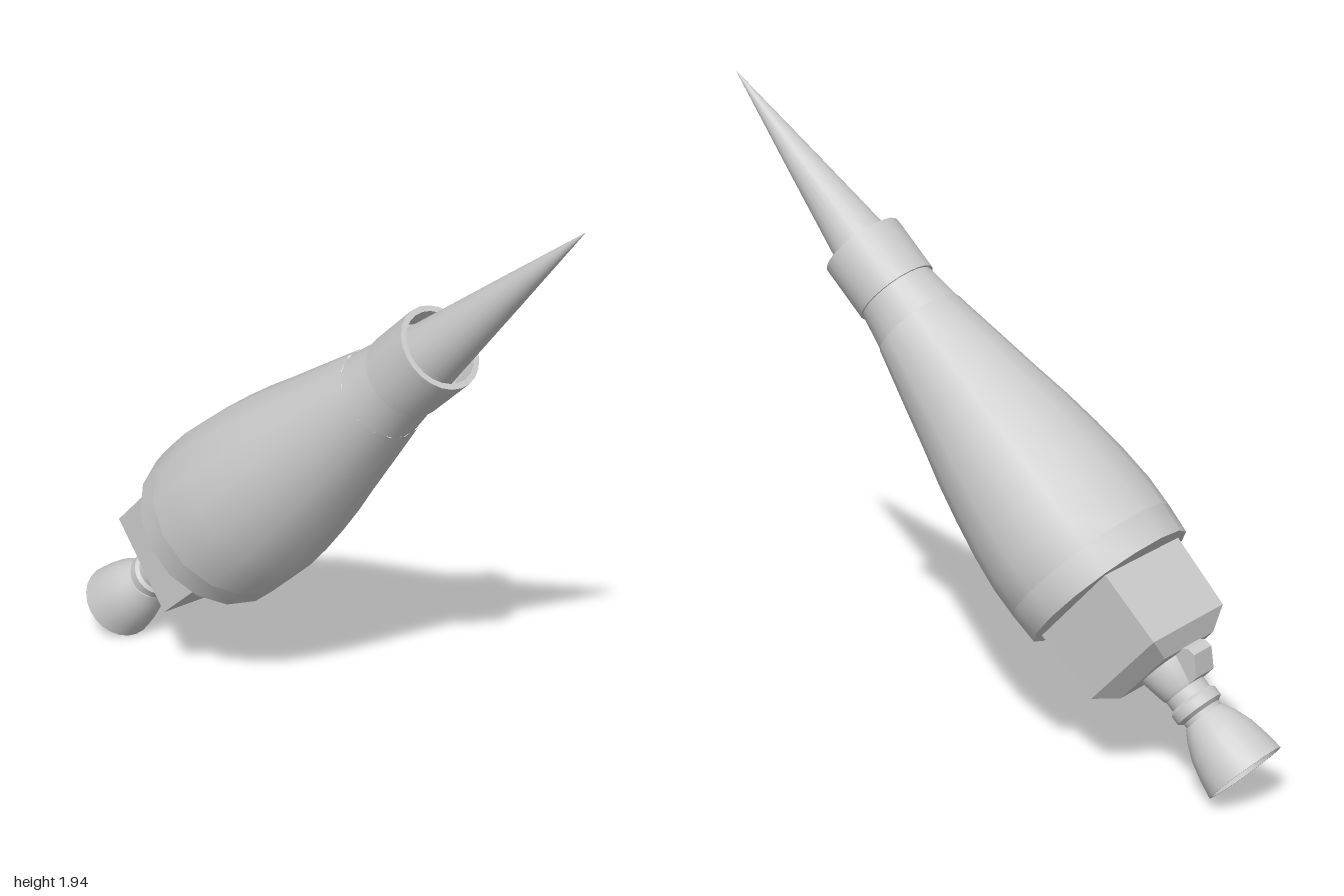
import * as THREE from 'three';
import { toCreasedNormals } from 'three/addons/utils/BufferGeometryUtils.js';

const grey = new THREE.MeshStandardMaterial({ color: 0xcccccc });
grey.name = 'light grey';

export function createModel() {
  const model = new THREE.Group();
  model.name = 'rocket';

  // Everything is built upright along local y, from nozzle exit to needle tip
  const craft = new THREE.Group();
  craft.name = 'craft';
  model.add(craft);

  const add = (name, geometry) => {
    const mesh = new THREE.Mesh(geometry, grey);
    mesh.name = name;
    craft.add(mesh);
    return mesh;
  };

  // Turned part: profile of [radius, height] pairs with sharp edges kept
  const turned = (name, sides, profile, crease = 0.5) => {
    const points = profile.map(([r, y]) => new THREE.Vector2(r, y));
    return add(name, toCreasedNormals(new THREE.LatheGeometry(points, sides), crease));
  };

  // Hollow engine bell
  turned('engineBell', 24, [
    [0, 0.2], [0.05, 0.2], [0.075, 0.15], [0.096, 0.1], [0.11, 0.05], [0.119, 0],
    [0.127, 0], [0.119, 0.055], [0.106, 0.115], [0.086, 0.165], [0.066, 0.2], [0, 0.2],
  ]);

  // Stepped neck between bell and engine block
  turned('engineNeck', 24, [
    [0.06, 0.19], [0.062, 0.215], [0.077, 0.225], [0.077, 0.255], [0.066, 0.265],
    [0.066, 0.295], [0.072, 0.305], [0.09, 0.385], [0.09, 0.42],
  ]);

  // Square engine block with bevelled rear edges
  turned('engineBlock', 4, [
    [0, 0.386], [0.118, 0.386], [0.168, 0.435], [0.175, 0.68],
  ].map(([half, y]) => [half * Math.SQRT2, y]), 0.1).rotation.y = Math.PI / 4;

  // Small pump housing on the upper side of the neck
  const side = new THREE.Shape([
    [0.05, 0.296], [0.095, 0.296], [0.14, 0.35], [0.135, 0.375], [0.11, 0.395], [0.05, 0.395],
  ].map(([r, y]) => new THREE.Vector2(r, y)));
  const pump = add('pumpHousing', new THREE.ExtrudeGeometry(side, { depth: 0.085, bevelEnabled: false }));
  pump.rotation.y = Math.PI / 2;
  pump.position.x = -0.052;

  // Main hull with a flat rear and a rear skirt
  turned('rearSkirt', 16, [[0, 0.672], [0.277, 0.672], [0.283, 0.768]]);
  turned('hull', 16, [
    [0.283, 0.768], [0.284, 0.865], [0.274, 0.98], [0.257, 1.1], [0.236, 1.22],
    [0.211, 1.335], [0.178, 1.5], [0.145, 1.662],
  ]);
  turned('noseNeck', 24, [[0.143, 1.66], [0.124, 1.785], [0.124, 1.8]]);

  // Open collar around the needle base
  turned('collar', 24, [
    [0.1, 1.78], [0.132, 1.78], [0.132, 1.965], [0.114, 1.965], [0.114, 1.88], [0, 1.88],
  ]);
  turned('needle', 24, [[0.106, 1.875], [0.095, 1.953], [0.048, 2.31], [0, 2.664]]);

  // Lean the craft from nozzle exit to tip
  const start = new THREE.Vector3(-0.065, 0.105, -0.907);
  const tip = new THREE.Vector3(0.135, 1.95, 1.0);
  const up = tip.clone().sub(start).normalize();
  const across = new THREE.Vector3(1, 0, 0).addScaledVector(up, -up.x).normalize();
  const front = new THREE.Vector3().crossVectors(across, up);
  craft.quaternion.setFromRotationMatrix(new THREE.Matrix4().makeBasis(across, up, front));
  craft.position.copy(start);

  // The pump sits on the side away from the local front
  pump.scale.x = 1;
  return model;
}
